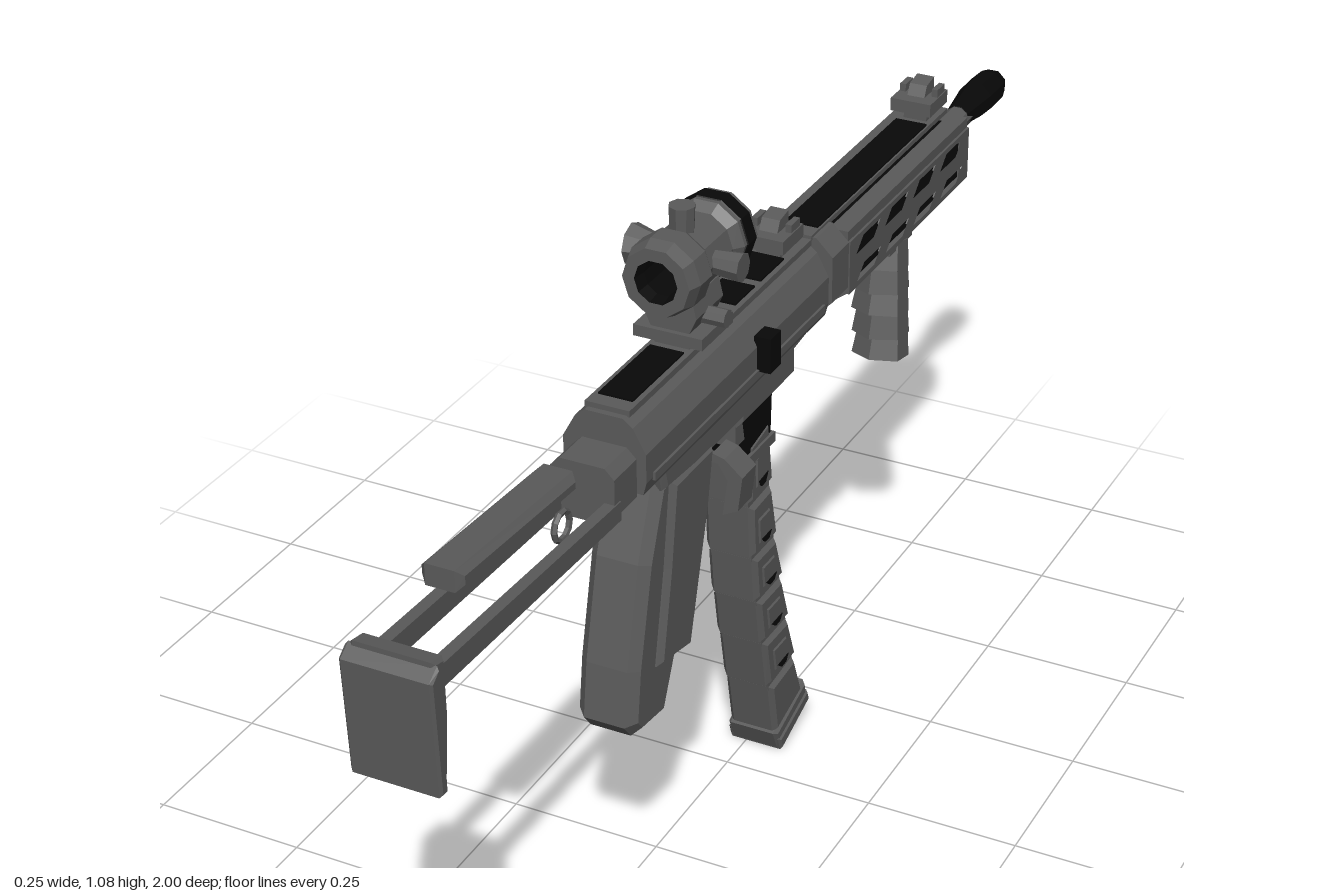
import * as THREE from 'three';

const std = (name, color, side = THREE.FrontSide) => {
  const m = new THREE.MeshStandardMaterial({ color, side, flatShading: true });
  m.name = name;
  return m;
};

export function createModel() {
  const grey = std('gunmetal grey', 0x5a5a5a);
  const black = std('matte black', 0x080808);
  const root = new THREE.Group();
  root.name = 'model';
  const body = new THREE.Group();
  body.name = 'body';
  body.position.x = 0.018;
  root.add(body);

  const add = (name, geo, mat = grey) => {
    const m = new THREE.Mesh(geo, mat);
    m.name = name;
    body.add(m);
    return m;
  };
  const poly = (pts) => new THREE.Shape(pts.map((p) => new THREE.Vector2(p[0], p[1])));
  // box given by its x, y and z ranges
  const box = (name, x0, x1, y0, y1, z0, z1, mat) =>
    add(name, new THREE.BoxGeometry(x1 - x0, y1 - y0, z1 - z0)
      .translate((x0 + x1) / 2, (y0 + y1) / 2, (z0 + z1) / 2), mat);
  // side outline in (z, y), extruded to width w about x
  const side = (name, pts, w, x = 0, bevel = 0, mat = grey, holes = []) => {
    const s = poly(pts);
    for (const h of holes) s.holes.push(poly(h));
    const d = w - 2 * bevel;
    const g = new THREE.ExtrudeGeometry(s, {
      depth: d, bevelEnabled: bevel > 0, bevelSize: bevel, bevelThickness: bevel,
      bevelOffset: -bevel, bevelSegments: 1,
    });
    return add(name, g.translate(0, 0, -d / 2).rotateY(-Math.PI / 2).translate(x, 0, 0), mat);
  };
  // cross-section in (x, y), extruded between two z values
  const section = (name, pts, z0, z1, mat) =>
    add(name, new THREE.ExtrudeGeometry(poly(pts), { depth: z1 - z0, bevelEnabled: false })
      .translate(0, 0, z0), mat);
  // turned part along z, outline points are (radius, z) with z rising outside
  const turned = (name, pts, n, y, mat) =>
    add(name, new THREE.LatheGeometry(pts.map((p) => new THREE.Vector2(p[0], p[1])), n, Math.PI / n)
      .rotateX(Math.PI / 2).translate(0, y, 0), mat);
  const mirror = (f) => [-1, 1].forEach(f);
  const oct = (w, y0, y1, c) => [[-w + c, y0], [w - c, y0], [w, y0 + c], [w, y1 - c],
    [w - c, y1], [-w + c, y1], [-w, y1 - c], [-w, y0 + c]];

  // Barrel and muzzle
  turned('muzzleDevice', [[0, -1], [0.024, -1], [0.031, -0.975], [0.031, -0.92], [0.02, -0.84], [0, -0.835]], 8, 0.803, black);
  turned('barrel', [[0, -0.86], [0.021, -0.86], [0.021, -0.72], [0, -0.72]], 10, 0.8);

  // Handguard: dark core behind slotted side panels
  box('handguardCore', -0.05, 0.05, 0.745, 0.845, -0.725, -0.26, black);
  section('handguardFloor', [[-0.04, 0.733], [0.04, 0.733], [0.062, 0.75], [-0.062, 0.75]], -0.735, -0.26);
  const slot = (z, y) => [[z + 0.045, y - 0.011], [z - 0.02, y - 0.011], [z - 0.045, y + 0.011], [z + 0.02, y + 0.011]];
  const slots = [];
  for (let i = 0; i < 4; i++) slots.push(slot(-0.33 - i * 0.11, 0.818));
  for (let i = 0; i < 4; i++) slots.push(slot(-0.335 - i * 0.11, 0.768));
  mirror((s) => {
    side('handguardPanel', [[-0.26, 0.748], [-0.735, 0.748], [-0.735, 0.838], [-0.26, 0.838]], 0.014, s * 0.057, 0, grey, slots);
    box('handguardShoulder', s * 0.044 - 0.016, s * 0.044 + 0.016, 0.836, 0.855, -0.735, -0.26);
  });
  box('handguardEnd', -0.052, 0.052, 0.748, 0.84, -0.735, -0.725);
  box('handguardRail', -0.03, 0.03, 0.864, 0.872, -0.72, -0.19);
  box('railInsert', -0.027, 0.027, 0.871, 0.875, -0.64, -0.22, black);
  section('collar', oct(0.064, 0.735, 0.868, 0.028), -0.255, -0.195);

  // Receiver
  section('upperReceiver', [[-0.06, 0.75], [0.06, 0.75], [0.065, 0.77], [0.065, 0.815], [0.045, 0.852],
    [0.03, 0.864], [-0.03, 0.864], [-0.045, 0.852], [-0.065, 0.815], [-0.065, 0.77]], -0.18, 0.42);
  section('receiverNeck', oct(0.045, 0.76, 0.85, 0.02), -0.2, -0.17);
  box('receiverRail', -0.035, 0.035, 0.862, 0.872, -0.18, 0.41);
  for (const [a, b] of [[0.23, 0.385], [0, 0.065], [-0.1, -0.02]])
    box('railInsert', -0.027, 0.027, 0.871, 0.875, a, b, black);
  side('lowerReceiver', [[0.355, 0.77], [0.34, 0.71], [0.2, 0.7], [0.1, 0.7], [0.1, 0.69], [-0.09, 0.69],
    [-0.09, 0.73], [-0.17, 0.74], [-0.17, 0.77]], 0.108, 0, 0.008);
  mirror((s) => box('receiverRib', s * 0.063 - 0.006, s * 0.063 + 0.006, 0.765, 0.778, -0.16, 0.4));
  section('rearTrunnion', oct(0.05, 0.73, 0.82, 0.015), 0.42, 0.485);
  box('chargingHandle', 0.06, 0.087, 0.775, 0.832, 0.035, 0.07, black);
  box('selectorLever', -0.08, -0.064, 0.8, 0.855, -0.25, -0.2);
  side('leverTip', [[-0.175, 0.83], [-0.185, 0.816], [-0.2, 0.83], [-0.19, 0.842]], 0.022, -0.134);

  // Magazine well, trigger and side paddles
  side('magazineWell', [[0.085, 0.7], [0.07, 0.645], [0.055, 0.605], [-0.03, 0.605], [-0.035, 0.7]], 0.08, 0, 0, black);
  side('wellFrame', [[0.1, 0.7], [0.1, 0.655], [0.07, 0.655], [0.08, 0.7]], 0.09);
  box('wellLip', -0.046, 0.046, 0.598, 0.615, -0.035, 0.065);
  side('triggerGuard', [[0.2, 0.705], [0.2, 0.605], [0.155, 0.605], [0.15, 0.675], [0.08, 0.68], [0.08, 0.705]], 0.05, 0, 0.005);
  mirror((s) => section('sidePaddle', [[s * 0.055, 0.7], [s * 0.075, 0.695], [s * 0.104, 0.67], [s * 0.097, 0.613],
    [s * 0.072, 0.6], [s * 0.08, 0.66]], 0.152, 0.198));

  // Pistol grip with raised side panels
  side('pistolGrip', [[0.345, 0.725], [0.195, 0.725], [0.205, 0.66], [0.245, 0.51], [0.3, 0.4], [0.335, 0.325],
    [0.42, 0.335], [0.44, 0.36], [0.428, 0.45], [0.39, 0.61]], 0.096, 0, 0.015);
  side('gripPanels', [[0.32, 0.715], [0.193, 0.715], [0.21, 0.62], [0.27, 0.41], [0.37, 0.43], [0.34, 0.58]], 0.116, 0, 0.008);

  // Curved magazine, built in tapering segments between two edge curves
  const edge = (pts) => new THREE.CatmullRomCurve3(pts.map((p) => new THREE.Vector3(0, p[1], p[0])));
  const rear = edge([[0.05, 0.625], [0.035, 0.46], [0.013, 0.326], [-0.02, 0.19], [-0.06, 0.03]]);
  const fore = edge([[-0.03, 0.64], [-0.05, 0.46], [-0.083, 0.326], [-0.12, 0.19], [-0.16, 0.06]]);
  const at = (t, inset) => {
    const a = rear.getPoint(t), b = fore.getPoint(t);
    return [a.clone().lerp(b, inset), b.clone().lerp(a, inset)].map((p) => [p.z, p.y]);
  };
  const band = (t0, t1, i0, i1) => [...at(t0, i0), ...at(t1, i1).reverse()];
  for (let i = 0; i < 6; i++) {
    const t = i / 6;
    side('magazineSegment', band(t, t + 0.155, 0.06, 0), 0.084, 0, 0.008);
    side('magazineCore', band(t, Math.min(1, t + 0.18), 0.08, 0.06), 0.07);
    if (i < 5) {
      side('magazinePanel', band(t + 0.045, t + 0.125, 0.25, 0.22), 0.089, 0, 0.004);
      side('magazineMark', band(t + 0.11, t + 0.13, 0.3, 0.42), 0.091, 0, 0, black);
    }
  }
  side('magazineBase', [[-0.052, 0.04], [-0.165, 0.078], [-0.172, 0.04], [-0.068, 0.004]], 0.088, 0, 0.006);
  side('baseLip', [[-0.062, 0.024], [-0.168, 0.058], [-0.176, 0.037], [-0.07, 0]], 0.094, 0, 0.004);

  // Ribbed foregrip
  box('foregripMount', -0.035, 0.035, 0.705, 0.737, -0.575, -0.485);
  for (let i = 0; i < 5; i++) {
    const m = add('foregripSegment', new THREE.CylinderGeometry(0.042, 0.048, 0.046, 6));
    m.position.set(0, 0.69 - i * 0.043, -0.53 - i * 0.003);
    m.rotation.x = i % 2 ? -0.12 : -0.2;
  }
  add('foregripCore', new THREE.CylinderGeometry(0.03, 0.03, 0.2, 6).translate(0, 0.61, -0.535));

  // Shoulder stock: twin rods, cheek piece, butt plate
  mirror((s) => side('stockRod', [[0.47, 0.765], [0.47, 0.735], [0.96, 0.75], [0.96, 0.785]], 0.018, s * 0.043));
  side('cheekPiece', [[0.86, 0.865], [0.55, 0.848], [0.55, 0.818], [0.86, 0.832]], 0.064, 0, 0.01);
  side('buttPlate', [[0.982, 0.81], [0.955, 0.805], [0.953, 0.72], [0.965, 0.605], [0.985, 0.615]], 0.125, 0, 0.005);
  side('buttPad', [[1, 0.79], [0.978, 0.805], [0.972, 0.61], [0.99, 0.61]], 0.137, 0, 0.004);
  add('slingLoop', new THREE.TorusGeometry(0.022, 0.005, 5, 10).rotateY(Math.PI / 2).translate(-0.02, 0.728, 0.51));

  // Folding sights
  for (const z of [-0.112, -0.667]) {
    box('sightBase', -0.035, 0.035, 0.89, 0.912, z - 0.038, z + 0.033);
    side('sightBlade', [[z + 0.012, 0.91], [z - 0.028, 0.91], [z - 0.028, 0.935], [z + 0.002, 0.93]], 0.03);
    mirror((s) => box('sightEar', s * 0.028 - 0.005, s * 0.028 + 0.005, 0.905, 0.925, z - 0.03, z));
    box('sightFoot', -0.02, 0.02, 0.868, 0.892, z - 0.012, z + 0.012);
  }

  // Optic: hollow tube, dark lining, knobs and mount
  const oy = 0.993;
  turned('opticTube', [[0.034, 0.06], [0.06, 0.06], [0.062, 0.105], [0.05, 0.12], [0.05, 0.19], [0.06, 0.205],
    [0.06, 0.24], [0.053, 0.262], [0.034, 0.262]], 10, oy);
  turned('opticLining', [[0.034, 0.262], [0.03, 0.24], [0.03, 0.08], [0.034, 0.06]], 10, oy, black);
  turned('lensRing', [[0.032, 0.0605], [0.032, 0.057], [0.052, 0.057], [0.052, 0.0605]], 10, oy, black);
  turned('opticBand', [[0.06, 0.068], [0.0635, 0.07], [0.0635, 0.096], [0.06, 0.098]], 10, oy, black);
  const knob = (name, r0, r1, h) => add(name, new THREE.CylinderGeometry(r1, r0, h, 8));
  knob('topKnob', 0.018, 0.02, 0.045).position.set(0, 1.056, 0.18);
  const rk = knob('rightKnob', 0.02, 0.032, 0.045);
  rk.position.set(-0.066, oy, 0.165);
  rk.rotation.z = Math.PI / 2;
  const lk = knob('leftKnob', 0.018, 0.022, 0.045);
  lk.position.set(0.066, oy, 0.165);
  lk.rotation.z = -Math.PI / 2;
  section('opticNeck', [[-0.03, 0.898], [0.03, 0.898], [0.042, 0.925], [0.035, 0.955], [-0.035, 0.955], [-0.042, 0.925]], 0.135, 0.22);
  box('opticClamp', -0.055, 0.055, 0.882, 0.9, 0.13, 0.228);
  box('clampFoot', -0.028, 0.028, 0.868, 0.884, 0.14, 0.215);
  const ck = knob('clampKnob', 0.014, 0.014, 0.04);
  ck.position.set(0.052, 0.915, 0.18);
  ck.rotation.z = Math.PI / 2;

  return root;
}
